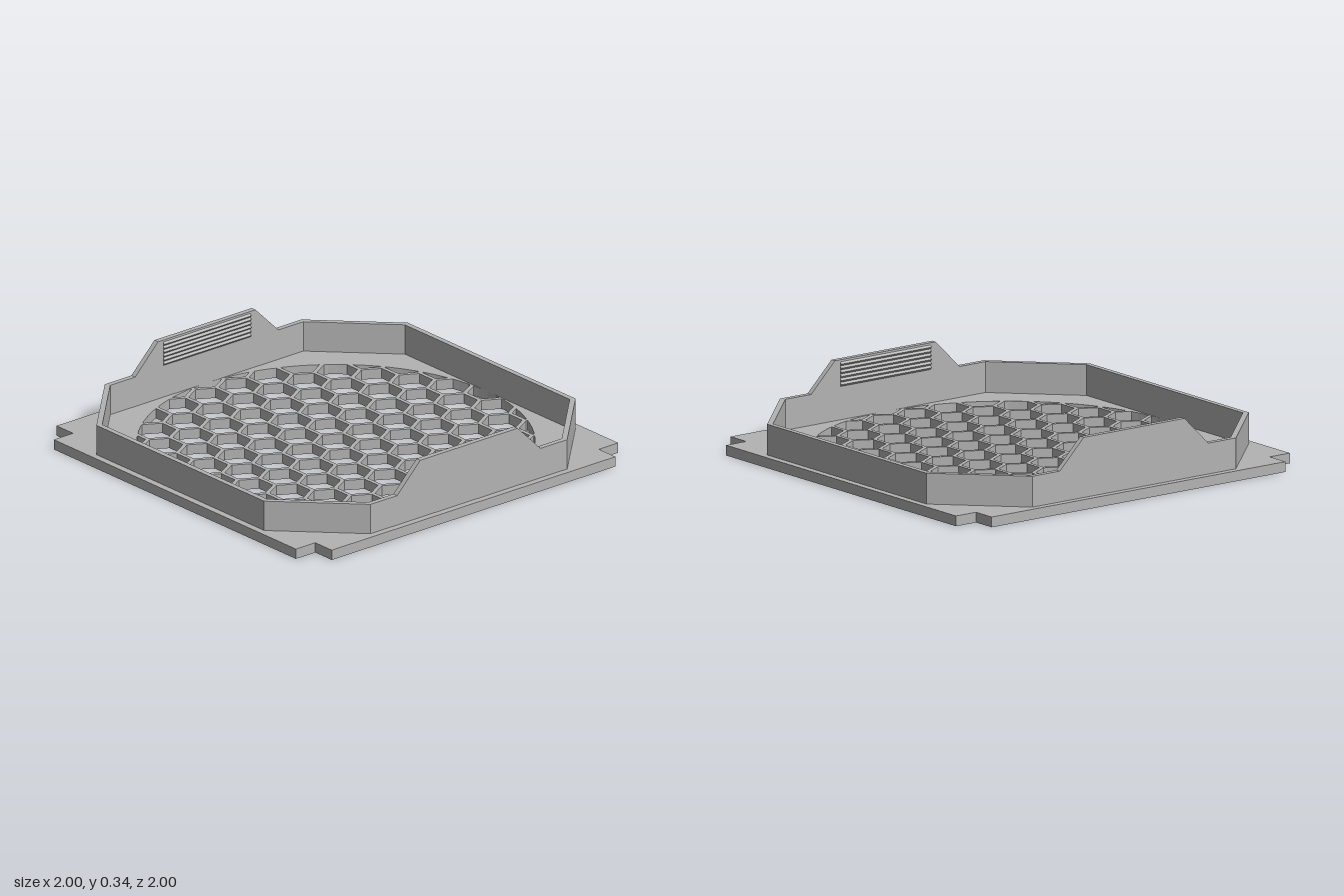
import * as THREE from 'three';

const PITCH = 0.188;   // spacing of the honeycomb cells along z
const BAR = 0.02;      // width of the honeycomb bars
const RADIUS = 0.94;   // round opening
const PLATE = 0.05;    // plate thickness
const WALL_TOP = 0.2;
const OUT = 0.966, THICK = 0.027;

const v2 = (x, y) => new THREE.Vector2(x, y);

function polygonPoints(radius, sides) {
  return Array.from({ length: sides }, (_, i) => {
    const a = (i / sides) * Math.PI * 2;
    return v2(Math.cos(a) * radius, Math.sin(a) * radius);
  });
}

// Clip a polygon to a convex counter-clockwise outline
function clip(points, outline) {
  outline.forEach((a, i) => {
    const edge = outline[(i + 1) % outline.length].clone().sub(a);
    const side = (p) => edge.cross(p.clone().sub(a));
    const kept = [];
    points.forEach((p, j) => {
      const q = points[(j + 1) % points.length];
      const sp = side(p), sq = side(q);
      if (sp >= 0) kept.push(p);
      if ((sp > 0 && sq < 0) || (sp < 0 && sq > 0)) kept.push(p.clone().lerp(q, sp / (sp - sq)));
    });
    points = kept;
  });
  return points;
}

// Extrude a flat outline upward from height y
function slab(shape, y, height) {
  const geo = new THREE.ExtrudeGeometry(shape, { depth: height, bevelEnabled: false });
  return geo.rotateX(-Math.PI / 2).translate(0, y, 0);
}

function octagon(half, corner) {
  const pts = [];
  for (const [sx, sy] of [[1, 1], [-1, 1], [-1, -1], [1, -1]]) {
    const pair = [v2(sx * half, sy * corner), v2(sx * corner, sy * half)];
    pts.push(...(sx * sy > 0 ? pair : pair.reverse()));
  }
  return pts;
}

export function createModel() {
  const model = new THREE.Group();
  model.name = 'fanGuardCover';
  const grey = new THREE.MeshStandardMaterial({ color: 0xb3b3b3 });
  grey.name = 'grey plastic';
  const add = (parent, name, geo) => {
    const mesh = new THREE.Mesh(geo, grey);
    mesh.name = name;
    parent.add(mesh);
    return mesh;
  };

  // Square plate with notched corners and a honeycomb cut into a round opening
  const n = 0.88;
  const plate = new THREE.Shape([
    v2(1, -n), v2(1, n), v2(n, n), v2(n, 1), v2(-n, 1), v2(-n, n),
    v2(-1, n), v2(-1, -n), v2(-n, -n), v2(-n, -1), v2(n, -1), v2(n, -n),
  ]);
  const rim = polygonPoints(RADIUS, 96);
  const cell = polygonPoints((PITCH - BAR) / Math.sqrt(3), 6);
  for (let col = -6; col <= 6; col++) {
    for (let row = -6; row <= 6; row++) {
      const centre = v2(col * PITCH * Math.sqrt(3) / 2, (row + (col % 2 ? 0.5 : 0)) * PITCH);
      const hole = clip(cell.map((p) => p.clone().add(centre)), rim);
      if (hole.length > 2 && Math.abs(THREE.ShapeUtils.area(hole)) > 0.0002) {
        plate.holes.push(new THREE.Path(hole));
      }
    }
  }
  add(model, 'honeycombPlate', slab(plate, 0, PLATE));

  // Eight-sided rim wall
  const wall = new THREE.Shape(octagon(OUT, 0.61));
  wall.holes.push(new THREE.Path(octagon(OUT - THICK, 0.599)));
  add(model, 'rimWall', slab(wall, PLATE, WALL_TOP - PLATE));

  // Clip tabs with grip ridges, one on each side
  const tabShape = new THREE.Shape([
    v2(-0.445, WALL_TOP), v2(0.445, WALL_TOP), v2(0.302, 0.342), v2(-0.302, 0.342),
  ]);
  const tabGeo = new THREE.ExtrudeGeometry(tabShape, { depth: THICK, bevelEnabled: false });
  tabGeo.rotateY(Math.PI / 2).translate(OUT - THICK, 0, 0);

  const ridges = 6, low = 0.212, step = 0.02, face = OUT - THICK;
  const teeth = [v2(face + 0.004, low), v2(face + 0.004, low + ridges * step)];
  for (let i = ridges - 1; i >= 0; i--) {
    teeth.push(v2(face, low + (i + 1) * step), v2(face - 0.008, low + (i + 0.5) * step));
  }
  teeth.push(v2(face, low));
  const gripGeo = new THREE.ExtrudeGeometry(new THREE.Shape(teeth), { depth: 0.54, bevelEnabled: false });
  gripGeo.translate(0, 0, -0.27);

  for (const side of ['left', 'right']) {
    const tab = new THREE.Group();
    tab.name = side + 'ClipTab';
    add(tab, side + 'Tab', tabGeo);
    add(tab, side + 'GripRidges', gripGeo);
    if (side === 'right') tab.rotation.y = Math.PI;
    model.add(tab);
  }
  return model;
}
